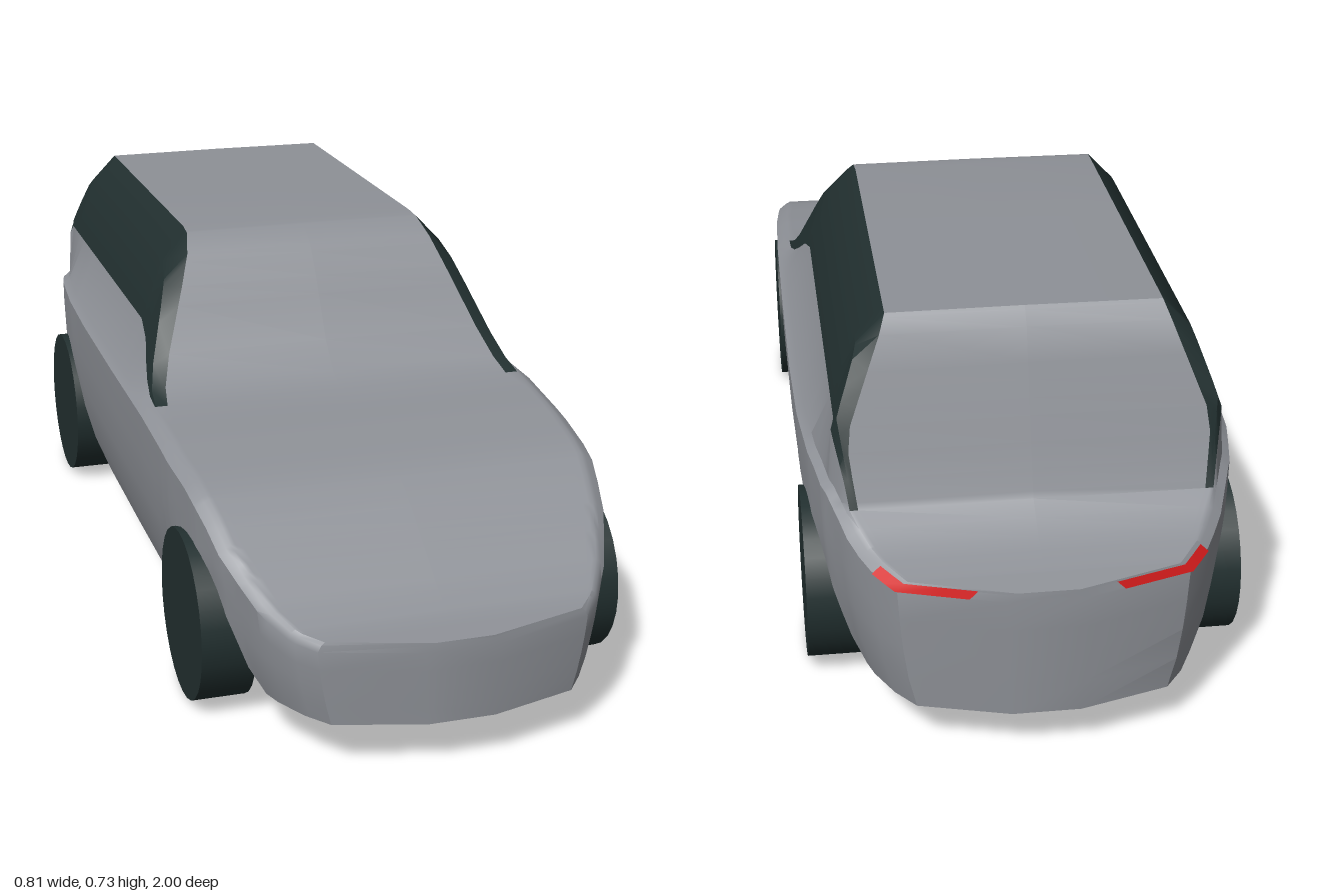
import * as THREE from 'three';
import { toCreasedNormals } from 'three/addons/utils/BufferGeometryUtils.js';

const mat = (name, color, side = THREE.FrontSide) => {
  const m = new THREE.MeshStandardMaterial({ color, side });
  m.name = name;
  return m;
};

// Piecewise-linear lookup in a table of [key, value], keys ascending
function look(table, k) {
  if (k <= table[0][0]) return table[0][1];
  for (let i = 1; i < table.length; i++) {
    const [k0, v0] = table[i - 1], [k1, v1] = table[i];
    if (k <= k1) return v0 + (v1 - v0) * (k - k0) / (k1 - k0);
  }
  return table[table.length - 1][1];
}

// Half width in plan by |z|, and how the sides tuck in towards the sill by y
const PLAN = [[0, .403], [.3, .402], [.5, .397], [.65, .385], [.75, .367], [.85, .33], [.91, .295], [.955, .255], [1, .07]];
const TUCK = [[.09, .87], [.14, .92], [.2, .955], [.3, .99], [.4, 1]];
// Belt line, centre line and top of the lower side panel, from tail to nose
const BELT = [[-1, .33], [-.95, .34], [-.88, .365], [-.82, .405], [-.77, .432], [-.7, .446], [-.65, .45], [.3, .45],
  [.45, .437], [.6, .418], [.65, .405], [.7, .38], [.8, .315], [.87, .268], [.92, .247], [1, .238]];
const CABIN = [[-.82, .41], [-.8, .46], [-.72, .695], [-.695, .725], [0, .729], [.04, .725], [.09, .695], [.13, .64],
  [.2, .525], [.25, .475], [.3, .455]];
const PANEL = [[-.82, .41], [-.8, .455], [-.74, .55], [.03, .55], [.1, .53], [.15, .5], [.2, .475], [.25, .459], [.3, .455]];
// Wheel arch height by distance from the axle
const ARCH = [[0, .31], [.06, .3], [.12, .265], [.16, .2], [.185, .13], [.215, .09]];
const AXLE = .6, CABIN_FRONT = .3, CABIN_REAR = -.82;

const belt = z => look(BELT, z);
const width = z => look(PLAN, Math.abs(z));
const floor = z => look(ARCH, Math.abs(Math.abs(z) - AXLE));

// Right half of a cross-section, from the floor centre up to the roof centre
function halfSection(z) {
  const w = width(z), b = belt(z), f = floor(z), inner = w - .015;
  const pts = [[0, f]];
  for (let i = 0; i < 5; i++) {
    const y = f + (b - .012 - f) * i / 4;
    pts.push([w * look(TUCK, y), y]);
  }
  pts.push([inner, b]);
  if (z <= CABIN_FRONT && z >= CABIN_REAR) {
    const top = look(CABIN, z), g = Math.min(look(PANEL, z), top), m = g + (top - g) * .7;
    const flank = y => .375 - (y - .455) * .364;
    pts.push([Math.min(flank(g), inner * .985), g]);
    pts.push([Math.min(flank(m), inner * .965), m]);
    pts.push([Math.min(.35 - (top - .455) * .39, inner * .94), top], [0, top + .001]);
  } else {
    for (const k of [.975, .95, .92, 0]) pts.push([inner * k, b + .005]);
  }
  return pts;
}

function createBody(paint, glass) {
  const zs = [...new Set([...BELT, ...CABIN, ...PANEL].map(p => p[0])
    .concat(PLAN.flatMap(p => [p[0], -p[0]]))
    .concat(ARCH.flatMap(p => [AXLE + p[0], AXLE - p[0], -AXLE + p[0], -AXLE - p[0]]))
    .map(z => +z.toFixed(3)))].sort((a, b) => b - a);
  const pos = [], bodyIdx = [], glassIdx = [];
  const half = halfSection(0).length, n = 2 * half - 2;
  for (const z of zs) {
    const h = halfSection(z);
    const ring = h.concat(h.slice(1, -1).reverse().map(([x, y]) => [-x, y]));
    for (const [x, y] of ring) pos.push(x, y, z);
  }
  for (let i = 0; i < zs.length - 1; i++) {
    const cabin = zs[i] <= CABIN_FRONT && zs[i + 1] >= CABIN_REAR;
    for (let j = 0; j < n; j++) {
      const k = (j + 1) % n, col = Math.min(j, n - 1 - j);
      const a = i * n + j, b = i * n + k, c = b + n, d = a + n;
      const isGlass = cabin && (col === 7 || col === 8);
      (isGlass ? glassIdx : bodyIdx).push(a, d, c, a, c, b);
    }
  }
  // Flat nose and tail, closed row by row between the two sides
  const last = (zs.length - 1) * n;
  for (let j = 0; j < half - 1; j++) {
    const l = (n - j) % n, l2 = n - j - 1;
    bodyIdx.push(j, j + 1, l2, j, l2, l);
    bodyIdx.push(last + j, last + l2, last + j + 1, last + j, last + l, last + l2);
  }
  const build = (idx, name, material, crease) => {
    const g = new THREE.BufferGeometry();
    g.setAttribute('position', new THREE.Float32BufferAttribute(pos, 3));
    g.setIndex(idx);
    const mesh = new THREE.Mesh(toCreasedNormals(g, crease), material);
    mesh.name = name;
    return mesh;
  };
  return [build(bodyIdx, 'body', paint, .6), build(glassIdx, 'sideWindows', glass, .5)];
}

// Thin lamp strip following the rear belt edge on one side
function createTailLight(side, material) {
  const pos = [], idx = [];
  [-.915, -.935, -.955, -.972, -.985].forEach((z, i) => {
    const w = width(z), b = belt(z);
    pos.push(side * (w + .002), b - .011, z - .003, side * (w - .013), b + .004, z - .003);
    if (i) idx.push(2 * i - 2, 2 * i - 1, 2 * i + 1, 2 * i - 2, 2 * i + 1, 2 * i);
  });
  const g = new THREE.BufferGeometry();
  g.setAttribute('position', new THREE.Float32BufferAttribute(pos, 3));
  g.setIndex(idx);
  g.computeVertexNormals();
  const mesh = new THREE.Mesh(g, material);
  mesh.name = side > 0 ? 'leftTailLight' : 'rightTailLight';
  return mesh;
}

export function createModel() {
  const car = new THREE.Group();
  car.name = 'car';
  const paint = mat('greyPaint', 0x8e9197);
  const dark = mat('darkGlassAndRubber', 0x223030, THREE.DoubleSide);
  const red = mat('redLamp', 0xd81c1c, THREE.DoubleSide);

  car.add(...createBody(paint, dark));

  // Wheels
  const wheelGeo = new THREE.CylinderGeometry(.16, .16, .1, 28).rotateZ(Math.PI / 2);
  for (const side of [1, -1]) {
    for (const end of [1, -1]) {
      const wheel = new THREE.Mesh(wheelGeo, dark);
      wheel.name = (end > 0 ? 'front' : 'rear') + (side > 0 ? 'Left' : 'Right') + 'Wheel';
      wheel.position.set(side * .35, .16, end * AXLE);
      car.add(wheel);
    }
    car.add(createTailLight(side, red));
  }
  return car;
}
